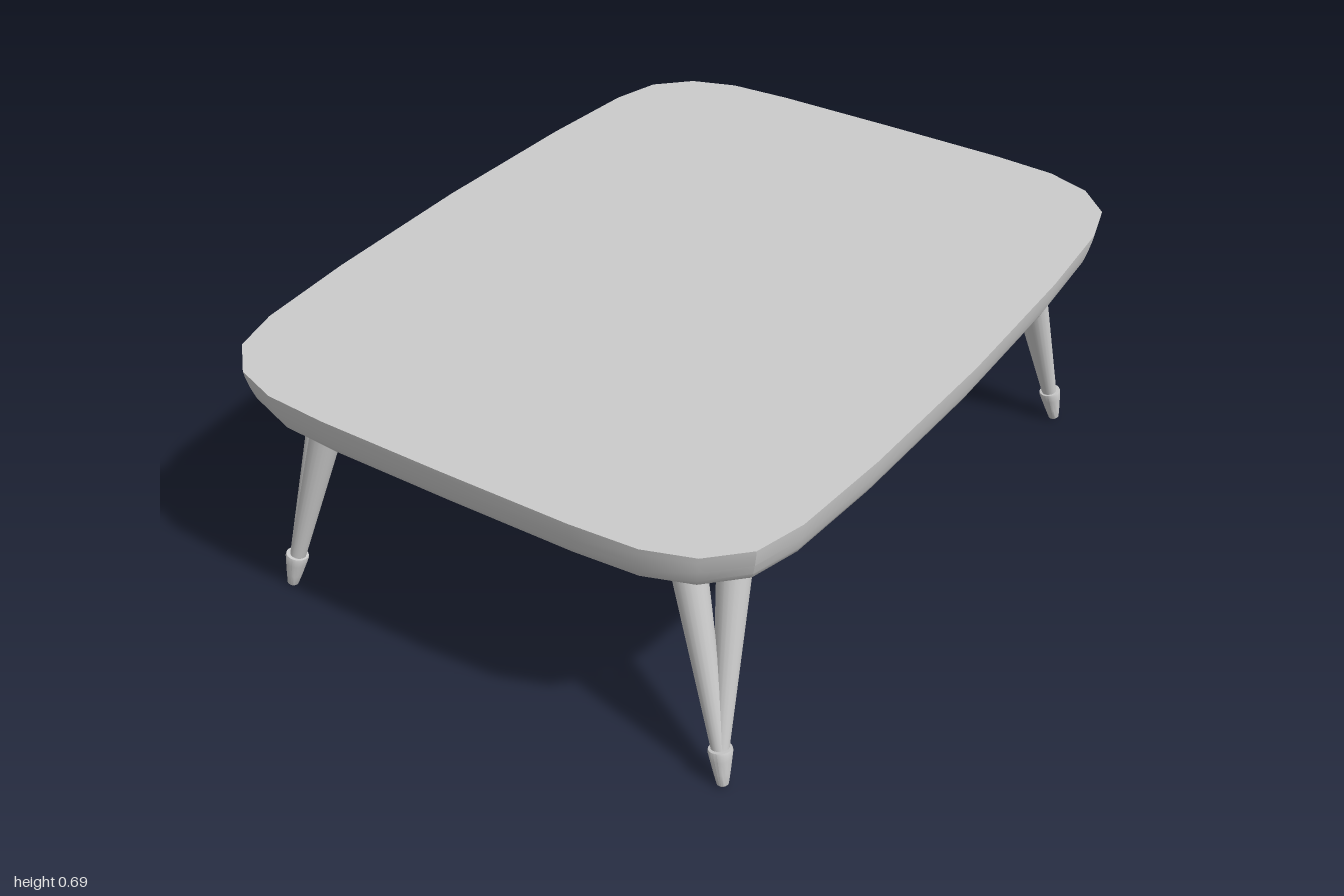
import * as THREE from 'three';
import { toCreasedNormals } from 'three/addons/utils/BufferGeometryUtils.js';

const material = new THREE.MeshStandardMaterial({ color: 0xcccccc });

// Closed solid through equal-length rings of [x, y, z], listed bottom to top.
function loft(rings) {
  const n = rings[0].length;
  const positions = rings.flat(2);
  const index = [];
  for (let r = 0; r < rings.length - 1; r++) {
    for (let i = 0; i < n; i++) {
      const j = (i + 1) % n;
      const a = r * n + i, b = r * n + j, c = a + n, d = b + n;
      index.push(a, c, b, b, c, d);
    }
  }
  // Flat caps as fans
  const top = (rings.length - 1) * n;
  for (let i = 1; i < n - 1; i++) {
    index.push(0, i, i + 1, top, top + i + 1, top + i);
  }
  const geometry = new THREE.BufferGeometry();
  geometry.setAttribute('position', new THREE.Float32BufferAttribute(positions, 3));
  geometry.setIndex(index);
  return toCreasedNormals(geometry, 0.5);
}

// Rounded-rectangle outline mirrored from one quarter, ordered from +x to +z.
function tableOutline() {
  const quarter = [
    [0.78, 0], [0.77, 0.45], [0.75, 0.73], [0.715, 0.86],
    [0.63, 0.945], [0.51, 0.987], [0.34, 0.998], [0, 1],
  ];
  const half = [...quarter, ...quarter.slice(0, -1).reverse().map(([x, z]) => [-x, z])];
  return [...half, ...half.slice(1, -1).reverse().map(([x, z]) => [x, -z])];
}

function tableTop() {
  const outline = tableOutline();
  // [inset, height] of the tray-like edge, bottom to top
  const profile = [[0.042, 0.58], [0.027, 0.592], [0.018, 0.61], [0.009, 0.64], [0.002, 0.672], [0, 0.687]];
  const rings = profile.map(([inset, y]) =>
    outline.map(([x, z]) => [x * (1 - inset / 0.78), y, z * (1 - inset)]));
  const mesh = new THREE.Mesh(loft(rings), material);
  mesh.name = 'tableTop';
  return mesh;
}

// Places a geometry running along +y so that it starts at one point and aims at another.
function aimed(geometry, from, to, name) {
  const mesh = new THREE.Mesh(geometry, material);
  const direction = to.clone().sub(from).normalize();
  mesh.quaternion.setFromUnitVectors(new THREE.Vector3(0, 1, 0), direction);
  mesh.position.copy(from);
  mesh.name = name;
  return mesh;
}

// Pair of tapered struts meeting in one pointed foot.
function cornerLeg(sx, sz, name) {
  const leg = new THREE.Group();
  leg.name = name;
  const at = (x, y, z) => new THREE.Vector3(sx * x, y, sz * z);
  const joint = at(0.631, 0.08, 0.858);

  for (const [x, z] of [[0.577, 0.713], [0.494, 0.797]]) {
    const end = at(x, 0.584, z);
    const length = end.distanceTo(joint);
    const strut = new THREE.CylinderGeometry(0.044, 0.019, length, 20);
    strut.translate(0, length / 2, 0);
    leg.add(aimed(strut, joint, end, 'strut'));
  }

  const footProfile = [
    [0, 0], [0.01, 0], [0.014, 0.004], [0.02, 0.035], [0.026, 0.07], [0.029, 0.088], [0.028, 0.095], [0, 0.097],
  ].map(([r, y]) => new THREE.Vector2(r, y));
  const foot = toCreasedNormals(new THREE.LatheGeometry(footProfile, 20), 0.6);
  leg.add(aimed(foot, at(0.646, 0.002, 0.87), at(0.629, 0.097, 0.856), 'foot'));
  return leg;
}

export function createModel() {
  const table = new THREE.Group();
  table.name = 'coffeeTable';
  table.add(tableTop());
  for (const [sx, side] of [[1, 'Left'], [-1, 'Right']]) {
    for (const [sz, end] of [[1, 'front'], [-1, 'back']]) {
      table.add(cornerLeg(sx, sz, `${end}${side}Leg`));
    }
  }
  return table;
}
